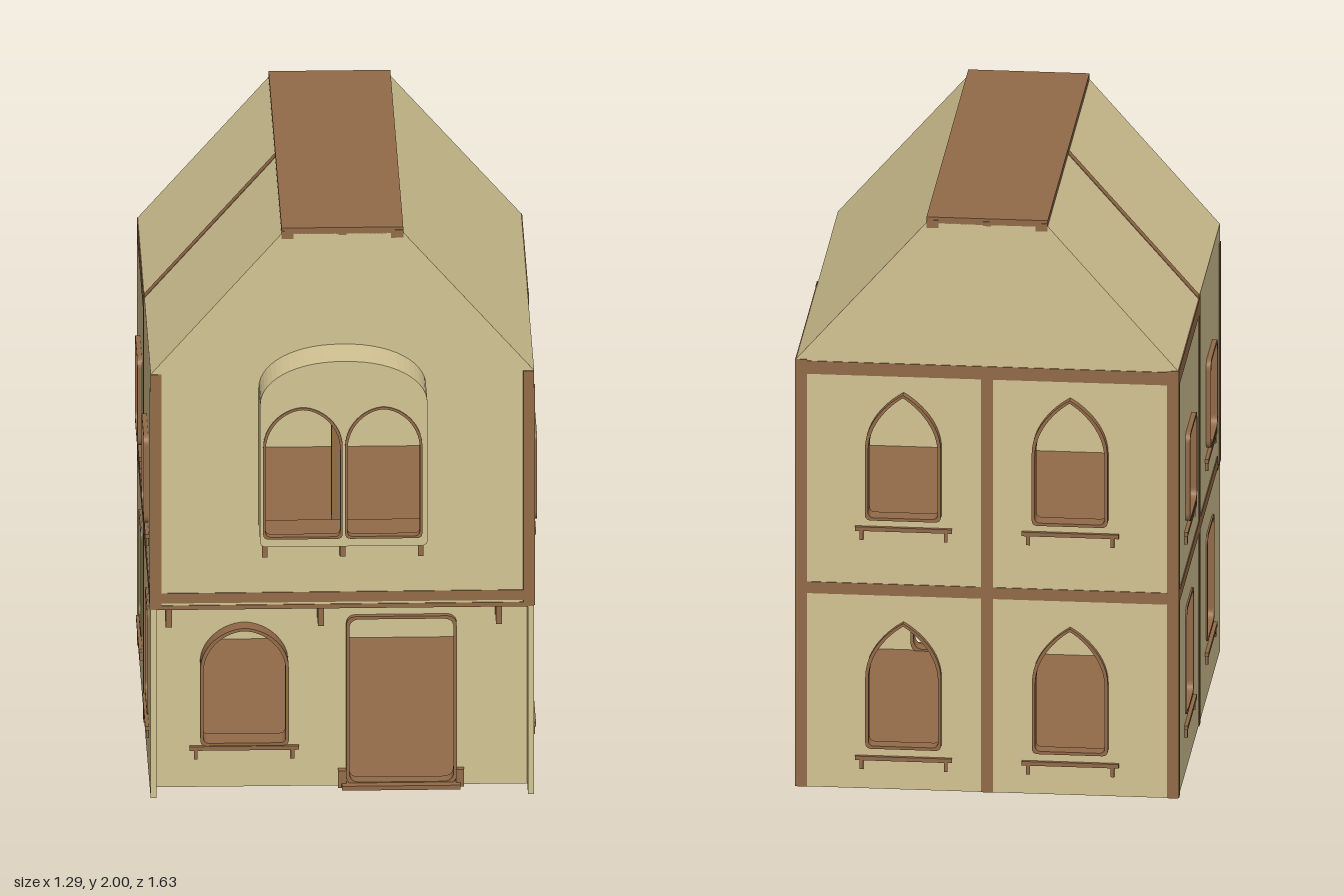
import * as THREE from 'three';

export function createModel() {
  const plaster = new THREE.MeshStandardMaterial({ color: 0xd4c594, side: THREE.DoubleSide });
  plaster.name = 'plaster';
  const timber = new THREE.MeshStandardMaterial({ color: 0x936b48, side: THREE.DoubleSide });
  timber.name = 'timber';
  const house = new THREE.Group();
  house.name = 'house';

  const add = (parent, name, geo, mat, x = 0, y = 0, z = 0) => {
    const m = new THREE.Mesh(geo, mat);
    m.name = name;
    m.position.set(x, y, z);
    parent.add(m);
    return m;
  };
  // Box given by its limits on each axis
  const box = (parent, name, mat, x0, x1, y0, y1, z0, z1) =>
    add(parent, name, new THREE.BoxGeometry(x1 - x0, y1 - y0, z1 - z0), mat,
      (x0 + x1) / 2, (y0 + y1) / 2, (z0 + z1) / 2);
  const extrude = (shape, depth) =>
    new THREE.ExtrudeGeometry(shape, { depth, bevelEnabled: false, curveSegments: 14 });
  const poly = (pts) => new THREE.Shape(pts.map(([x, y]) => new THREE.Vector2(x, y)));

  // Opening outlines, each from left, right, bottom, top
  const rounded = (a, b, c, d, r = 0.035) => {
    const s = new THREE.Shape();
    s.moveTo(a + r, c);
    s.lineTo(b - r, c); s.quadraticCurveTo(b, c, b, c + r);
    s.lineTo(b, d - r); s.quadraticCurveTo(b, d, b - r, d);
    s.lineTo(a + r, d); s.quadraticCurveTo(a, d, a, d - r);
    s.lineTo(a, c + r); s.quadraticCurveTo(a, c, a + r, c);
    return s;
  };
  const arched = (point, springDrop) => (a, b, c, d) => {
    const s = new THREE.Shape(), m = (a + b) / 2, r = 0.02, v = d - springDrop, w = (b - a) / 2;
    s.moveTo(a + r, c);
    s.lineTo(b - r, c); s.quadraticCurveTo(b, c, b, c + r);
    s.lineTo(b, v);
    s.bezierCurveTo(b, v + springDrop * 0.55, m + w * point, d - springDrop * (0.55 - point) * 0.3, m, d);
    s.bezierCurveTo(m - w * point, d - springDrop * (0.55 - point) * 0.3, a, v + springDrop * 0.55, a, v);
    s.lineTo(a, c + r); s.quadraticCurveTo(a, c, a + r, c);
    return s;
  };
  const pointed = arched(0.25, 0.19);
  const round = arched(0.5, 0.14);
  const bayOutline = arched(0.6, 0.15);

  // Hollow ring between an outline and the same outline shrunk by e
  const ring = (outline, [a, b, c, d], e, depth) => {
    const s = outline(a, b, c, d);
    s.holes.push(outline(a + e, b - e, c + e, d - e));
    return extrude(s, depth);
  };
  // Sill on two small brackets
  const sill = (parent, u0, u1, y) => {
    box(parent, 'windowSill', timber, u0, u1, y - 0.014, y, 0, 0.012);
    for (const u of [u0 + 0.015, u1 - 0.027])
      box(parent, 'sillBracket', timber, u, u + 0.012, y - 0.046, y - 0.014, 0, 0.009);
  };
  // Wall panel facing local +z with its outer face at local z = 0
  const panel = (name, angle, x, z, outline, openings) => {
    const g = new THREE.Group();
    g.name = name;
    g.rotation.y = angle;
    g.position.set(x, 0, z);
    house.add(g);
    const s = poly(outline);
    for (const o of openings) s.holes.push(o.shape(...o.r));
    add(g, name + 'Panel', extrude(s, 0.02), plaster, 0, 0, -0.02);
    for (const o of openings) {
      if (o.out === undefined) continue;
      add(g, 'openingFrame', ring(o.shape, o.r, 0.01, o.out + 0.03), timber, 0, 0, -0.03);
      if (o.sill) sill(g, o.r[0] - 0.035, o.r[1] + 0.035, o.sill);
    }
    return g;
  };
  const strip = (g, name, u0, u1, y0, y1) => box(g, name, timber, u0, u1, y0, y1, -0.001, 0.003);

  // Side walls with windows and timbering
  for (const side of [1, -1]) {
    const span = (z0, z1) => (side > 0 ? [-z1, -z0] : [z0, z1]);
    const openings = [];
    for (const [z0, z1] of [[0.175, 0.415], [-0.54, -0.295]]) {
      openings.push({ shape: rounded, r: [...span(z0, z1), 0.195, 0.57], out: 0.005, sill: 0.175 });
      openings.push({ shape: rounded, r: [...span(z0, z1), 0.87, 1.18], out: 0.016, sill: 0.85 });
    }
    const [a, b] = span(-0.79, 0.65);
    const g = panel('sideWall', side * Math.PI / 2, side * 0.63, 0,
      [[a, 0], [b, 0], [b, 1.49], [a, 1.49]], openings);
    strip(g, 'middlePost', ...span(-0.09, -0.045), 0, 1.495);
    strip(g, 'rearCornerPost', ...span(-0.789, -0.75), 0, 1.49);
    strip(g, 'frontCornerPost', ...span(0.62, 0.649), 0.67, 1.43);
    strip(g, 'floorBeam', ...span(-0.75, 0.55), 0.675, 0.715);
    strip(g, 'overhangBeam', ...span(0.55, 0.649), 0.665, 0.678);
    strip(g, 'eavesBeam', ...span(-0.789, -0.05), 1.435, 1.489);
  }

  // Back gable with four pointed windows
  const gable = (y0) => [[-0.63, y0], [0.63, y0], [0.63, 1.49], [0.2, 1.98], [-0.2, 1.98], [-0.63, 1.49]];
  const backOpenings = [];
  for (const [u0, u1] of [[-0.4, -0.15], [0.15, 0.4]]) {
    backOpenings.push({ shape: pointed, r: [u0, u1, 0.145, 0.585], out: 0.02, sill: 0.115 });
    backOpenings.push({ shape: pointed, r: [u0, u1, 0.945, 1.385], out: 0.03, sill: 0.915 });
  }
  const back = panel('backWall', Math.PI, 0, -0.79, gable(0), backOpenings);
  strip(back, 'middlePost', -0.02, 0.02, 0, 1.45);
  for (const s of [-1, 1]) strip(back, 'cornerPost', s * 0.612 - 0.018, s * 0.612 + 0.018, 0, 1.49);
  strip(back, 'floorBeam', -0.6, 0.6, 0.675, 0.715);
  strip(back, 'eavesBeam', -0.6, 0.6, 1.44, 1.485);

  // Recessed ground floor front with window and open doorway
  const lower = panel('groundFloorFront', 0, 0, 0.55,
    [[-0.615, 0], [0.615, 0], [0.615, 0.67], [-0.615, 0.67]], [
      { shape: round, r: [-0.465, -0.175, 0.165, 0.578], out: 0.06, sill: 0.145 },
      { shape: rounded, r: [0.015, 0.378, 0.008, 0.6], out: 0.02 },
    ]);
  box(lower, 'doorStep', timber, 0, 0.39, 0, 0.015, 0, 0.05);
  for (const x of [-0.012, 0.375]) box(lower, 'doorFoot', timber, x, x + 0.027, 0, 0.06, 0, 0.025);
  for (const x of [-0.57, -0.07, 0.515])
    box(lower, 'overhangBracket', timber, x - 0.01, x + 0.01, 0.595, 0.668, 0, 0.09);

  // Overhanging upper front
  const bay = [-0.275, 0.275, 0.94, 1.59];
  const upper = panel('upperFront', 0, 0, 0.65, gable(0.67), [{ shape: bayOutline, r: bay }]);
  for (const s of [-1, 1]) strip(upper, 'cornerPost', s * 0.612 - 0.018, s * 0.612 + 0.018, 0.67, 1.49);
  strip(upper, 'floorBeam', -0.595, 0.595, 0.685, 0.72);
  strip(upper, 'lowerBeam', -0.629, 0.629, 0.662, 0.677);

  // Projecting bay with twin arches
  const bayGroup = new THREE.Group();
  bayGroup.name = 'bayWindow';
  bayGroup.position.z = 0.65;
  house.add(bayGroup);
  add(bayGroup, 'bayShell', ring(bayOutline, bay, 0.014, 0.18), plaster, 0, 0, -0.02);
  const bayFace = bayOutline(...bay);
  const arches = [[-0.265, -0.004, 0.968, 1.43], [0.004, 0.258, 0.968, 1.43]];
  for (const r of arches) bayFace.holes.push(round(...r));
  add(bayGroup, 'bayFace', extrude(bayFace, 0.012), plaster, 0, 0, 0.148);
  for (const r of arches) add(bayGroup, 'archFrame', ring(round, r, 0.008, 0.03), timber, 0, 0, 0.135);
  box(bayGroup, 'baySeat', timber, -0.26, 0.26, 0.954, 0.966, -0.02, 0.148);
  for (const x of [-0.255, 0, 0.257])
    box(bayGroup, 'bayBracket', timber, x - 0.009, x + 0.009, 0.85, 0.94, 0, 0.02);

  // Floors
  box(house, 'groundFloor', timber, -0.61, 0.61, 0, 0.012, -0.77, 0.545);
  box(house, 'upperFloor', timber, -0.61, 0.61, 0.668, 0.685, -0.77, 0.63);

  // Interior post with crossing curved braces
  box(house, 'innerPost', timber, -0.015, 0.015, 0.685, 1.45, -0.085, -0.055);
  for (const s of [-1, 1]) {
    const curve = new THREE.QuadraticBezierCurve3(
      new THREE.Vector3(s * 0.12, 1.16, -0.07), new THREE.Vector3(s * 0.08, 1.38, -0.07),
      new THREE.Vector3(-s * 0.22, 1.43, -0.07));
    add(house, 'curvedBrace', new THREE.TubeGeometry(curve, 14, 0.018, 6), timber);
  }

  // Roof slopes, flat ridge and ridge beams
  for (const s of [-1, 1]) {
    const slope = poly([[s * 0.63, 1.49], [s * 0.2, 1.98], [s * 0.2, 1.96], [s * 0.61, 1.49]]);
    add(house, 'roofSlope', extrude(slope, 1.44), plaster, 0, 0, -0.79);
  }
  const rafter = poly([[-0.63, 1.49], [-0.628, 1.495], [-0.2, 1.983], [-0.2, 1.975]]);
  add(house, 'roofRafter', extrude(rafter, 0.035), timber, 0, 0, -0.085);
  box(house, 'ridgeDeck', timber, -0.2, 0.2, 1.978, 2, -0.79, 0.65);
  for (const x of [-0.18, 0, 0.18]) {
    const w = x ? 0.02 : 0.013;
    box(house, 'ridgeBeam', timber, x - w, x + w, x ? 1.963 : 1.975, 1.99, -0.793, 0.653);
  }
  return house;
}
